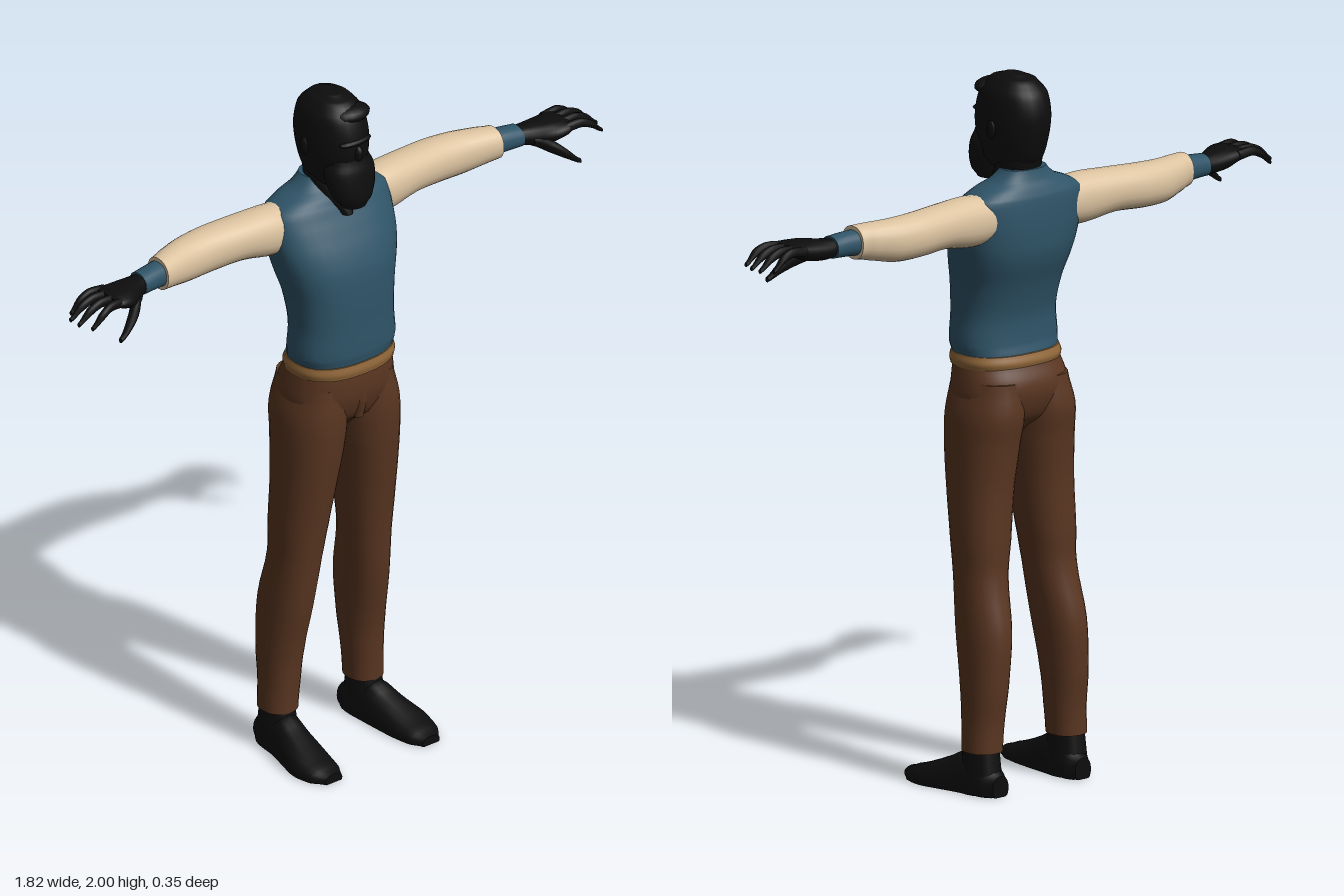
import * as THREE from 'three';

const paint = (name, color) => {
  const m = new THREE.MeshStandardMaterial({ color });
  m.name = name;
  return m;
};

// Smooth Catmull-Rom resampling of a list of cross-sections
function resample(sections, steps) {
  const out = [];
  const last = sections.length - 1;
  const at = (i) => sections[Math.min(last, Math.max(0, i))];
  for (let i = 0; i < last; i++) {
    for (let k = 0; k < steps; k++) {
      const t = k / steps;
      out.push(at(i).map((p1, j) => {
        const p0 = at(i - 1)[j], p2 = at(i + 1)[j], p3 = at(i + 2)[j];
        if (j === 0) return p1 + (p2 - p1) * t;
        return 0.5 * (2 * p1 + (p2 - p0) * t + (2 * p0 - 5 * p1 + 4 * p2 - p3) * t * t
          + (3 * p1 - p0 - 3 * p2 + p3) * t * t * t);
      }));
    }
  }
  out.push(sections[last]);
  return out;
}

// Closed loft along an axis; each section is [position, centreA, centreB, radiusA, radiusB]
function loft(axis, sections, { sides = 24, steps = 4, power = 2.2, floor = -1 } = {}) {
  const body = resample(sections, steps);
  const first = body[0], end = body[body.length - 1];
  const tip = (s) => [s[0], s[1], s[2], 0, 0];
  const rings = [tip(first), first, ...body, end, tip(end)];
  const bend = (v) => Math.sign(v) * Math.pow(Math.abs(v), 2 / power);
  const pos = [], index = [];
  for (const [t, ca, cb, ra, rb] of rings) {
    for (let i = 0; i < sides; i++) {
      const ang = (i / sides) * Math.PI * 2;
      const a = ca + ra * bend(Math.cos(ang)), b = cb + rb * bend(Math.sin(ang));
      const [x, y, z] = axis === 'x' ? [t, a, b] : axis === 'y' ? [a, t, b] : [a, b, t];
      pos.push(x, Math.max(floor, y), z);
    }
  }
  const flip = (end[0] > first[0]) === (axis === 'y');
  for (let r = 0; r < rings.length - 1; r++) {
    for (let i = 0; i < sides; i++) {
      const j = (i + 1) % sides;
      const a = r * sides + i, b = r * sides + j, c = a + sides, d = b + sides;
      if (flip) index.push(a, c, b, b, c, d);
      else index.push(a, b, c, b, d, c);
    }
  }
  const g = new THREE.BufferGeometry();
  g.setAttribute('position', new THREE.Float32BufferAttribute(pos, 3));
  g.setIndex(index);
  g.computeVertexNormals();
  return g;
}

export function createModel() {
  const black = paint('black', 0x0d0d0d);
  const blue = paint('slate blue', 0x2f5468);
  const cream = paint('cream', 0xdcc3a0);
  const brown = paint('brown', 0x5a3621);
  const tan = paint('tan', 0x8f6639);
  const model = new THREE.Group();
  const add = (name, geometry, material, parent = model) => {
    const mesh = new THREE.Mesh(geometry, material);
    mesh.name = name;
    parent.add(mesh);
    return mesh;
  };
  const ball = (name, x, y, z, rx, ry, rz, parent) => {
    const mesh = add(name, new THREE.SphereGeometry(1, 16, 12), black, parent);
    mesh.position.set(x, y, z);
    mesh.scale.set(rx, ry, rz);
  };

  // Vest with a short collar
  add('vest', loft('y', [
    [1.215, 0, -0.01, 0.153, 0.11], [1.25, 0, -0.003, 0.161, 0.108], [1.33, 0, -0.003, 0.155, 0.108],
    [1.42, 0, -0.015, 0.163, 0.12], [1.5, 0, -0.033, 0.183, 0.13], [1.56, 0, -0.047, 0.196, 0.123],
    [1.62, 0, -0.063, 0.2, 0.107], [1.67, 0, -0.075, 0.194, 0.09], [1.695, 0, -0.078, 0.15, 0.077],
    [1.715, 0, -0.082, 0.1, 0.062], [1.745, 0, -0.087, 0.068, 0.048],
  ], { sides: 36, power: 2.4 }), blue);
  add('belt', loft('y', [
    [1.185, 0, -0.012, 0.157, 0.118], [1.202, 0, -0.012, 0.161, 0.121], [1.222, 0, -0.01, 0.156, 0.115],
  ], { sides: 36, power: 2.4 }), tan);

  // Trousers
  add('hips', loft('y', [
    [1.2, 0, -0.014, 0.153, 0.112], [1.15, 0, -0.025, 0.163, 0.126], [1.1, 0, -0.028, 0.168, 0.124],
    [1.04, 0, -0.028, 0.15, 0.1], [0.995, 0, -0.028, 0.06, 0.05],
  ], { sides: 36, power: 2.4 }), brown);
  add('fly', loft('y', [
    [1.19, 0, 0.07, 0.022, 0.03], [1.1, 0, 0.07, 0.024, 0.03], [1.04, 0, 0.055, 0.018, 0.032],
  ], { sides: 12 }), brown);

  // Head, beard and neck
  const head = new THREE.Group();
  head.name = 'head';
  model.add(head);
  add('skull', loft('y', [
    [2.0, 0, -0.05, 0.025, 0.035], [1.988, 0, -0.048, 0.053, 0.07], [1.955, 0, -0.048, 0.079, 0.102],
    [1.9, 0, -0.046, 0.087, 0.118], [1.85, 0, -0.043, 0.086, 0.118], [1.8, 0, -0.042, 0.078, 0.108],
    [1.765, 0, -0.04, 0.068, 0.095], [1.74, 0, -0.035, 0.05, 0.07],
  ], { power: 2.15 }), black, head);
  add('beard', loft('y', [
    [1.835, 0, 0.03, 0.06, 0.042], [1.8, 0, 0.03, 0.076, 0.053], [1.755, 0, 0.04, 0.073, 0.05],
    [1.715, 0, 0.048, 0.057, 0.044], [1.69, 0, 0.05, 0.036, 0.034],
  ]), black, head);
  add('neck', loft('y', [
    [1.8, 0, -0.075, 0.06, 0.06], [1.74, 0, -0.065, 0.062, 0.062], [1.7, 0, -0.042, 0.05, 0.06],
    [1.65, 0, -0.01, 0.022, 0.052],
  ]), black, head);
  ball('nose', 0, 1.855, 0.07, 0.013, 0.024, 0.018, head);
  ball('brow', 0, 1.888, 0.058, 0.055, 0.011, 0.02, head);
  ball('forelock', 0.015, 1.955, 0.02, 0.06, 0.025, 0.042, head);

  for (const s of [1, -1]) {
    const side = s > 0 ? 'left' : 'right';
    const limb = (part) => {
      const g = new THREE.Group();
      g.name = side + part;
      model.add(g);
      return g;
    };
    const alongX = (list) => list.map(([x, ...rest]) => [x * s, ...rest]);
    const mirrored = (list) => list.map(([t, cx, ...rest]) => [t, cx * s, ...rest]);
    ball(side + 'Ear', s * 0.087, 1.855, -0.055, 0.008, 0.026, 0.016, head);

    // Sleeve and cuff
    const arm = limb('Arm');
    add('sleeve', loft('x', alongX([
      [0.13, 1.62, -0.085, 0.065, 0.062], [0.2, 1.62, -0.083, 0.071, 0.065], [0.3, 1.626, -0.092, 0.062, 0.063],
      [0.4, 1.622, -0.1, 0.062, 0.06], [0.48, 1.62, -0.095, 0.06, 0.056], [0.55, 1.625, -0.078, 0.052, 0.05],
      [0.59, 1.627, -0.067, 0.047, 0.045],
    ])), cream, arm);
    add('cuff', loft('x', alongX([
      [0.58, 1.627, -0.068, 0.036, 0.037], [0.62, 1.627, -0.064, 0.034, 0.036], [0.665, 1.625, -0.06, 0.031, 0.036],
    ])), blue, arm);

    // Hand with four curled fingers and a thumb
    const hand = limb('Hand');
    add('palm', loft('x', alongX([
      [0.65, 1.625, -0.06, 0.025, 0.03], [0.69, 1.623, -0.052, 0.029, 0.04], [0.74, 1.627, -0.036, 0.03, 0.056],
      [0.78, 1.634, -0.031, 0.022, 0.06], [0.8, 1.637, -0.031, 0.013, 0.055],
    ]), { sides: 16 }), black, hand);
    const fingers = [[0.885, -0.08, -0.082], [0.91, -0.051, -0.053], [0.91, -0.02, -0.017], [0.895, 0.009, 0.024]];
    fingers.forEach(([tip, z0, z1], i) => {
      const len = tip - 0.77;
      add('finger' + (i + 1), loft('x', alongX([
        [0.77, 1.635, z0, 0.014, 0.013], [0.77 + len * 0.45, 1.64, (z0 + z1) / 2, 0.013, 0.012],
        [0.77 + len * 0.75, 1.625, z1, 0.012, 0.011], [tip, 1.598, z1, 0.006, 0.006],
      ]), { sides: 10 }), black, hand);
    });
    add('thumb', loft('x', alongX([
      [0.69, 1.615, -0.03, 0.018, 0.02], [0.73, 1.596, 0.005, 0.021, 0.02], [0.77, 1.567, 0.028, 0.015, 0.014],
      [0.808, 1.538, 0.038, 0.007, 0.007],
    ]), { sides: 12 }), black, hand);

    // Trouser leg
    add(side + 'TrouserLeg', loft('y', mirrored([
      [1.15, 0.082, -0.03, 0.075, 0.115], [1.06, 0.09, -0.033, 0.09, 0.125], [0.98, 0.096, -0.029, 0.09, 0.117],
      [0.85, 0.106, -0.032, 0.082, 0.102], [0.7, 0.116, -0.045, 0.074, 0.09], [0.6, 0.122, -0.053, 0.066, 0.083],
      [0.45, 0.133, -0.079, 0.063, 0.09], [0.3, 0.142, -0.092, 0.058, 0.074], [0.2, 0.146, -0.091, 0.054, 0.062],
      [0.12, 0.15, -0.092, 0.053, 0.058],
    ])), brown);

    // Shoe
    const shoe = limb('Shoe');
    add('ankle', loft('y', mirrored([
      [0.15, 0.152, -0.092, 0.042, 0.05], [0.09, 0.152, -0.09, 0.045, 0.06], [0.03, 0.152, -0.09, 0.048, 0.068],
    ]), { sides: 16 }), black, shoe);
    add('foot', loft('z', mirrored([
      [-0.167, 0.147, 0.025, 0.028, 0.035], [-0.13, 0.15, 0.025, 0.046, 0.062], [-0.05, 0.155, 0.025, 0.05, 0.09],
      [0.01, 0.164, 0.02, 0.057, 0.068], [0.08, 0.174, 0.014, 0.063, 0.045], [0.14, 0.174, 0.01, 0.052, 0.029],
      [0.177, 0.171, 0.008, 0.03, 0.018],
    ]), { sides: 20, floor: 0 }), black, shoe);
  }
  return model;
}
